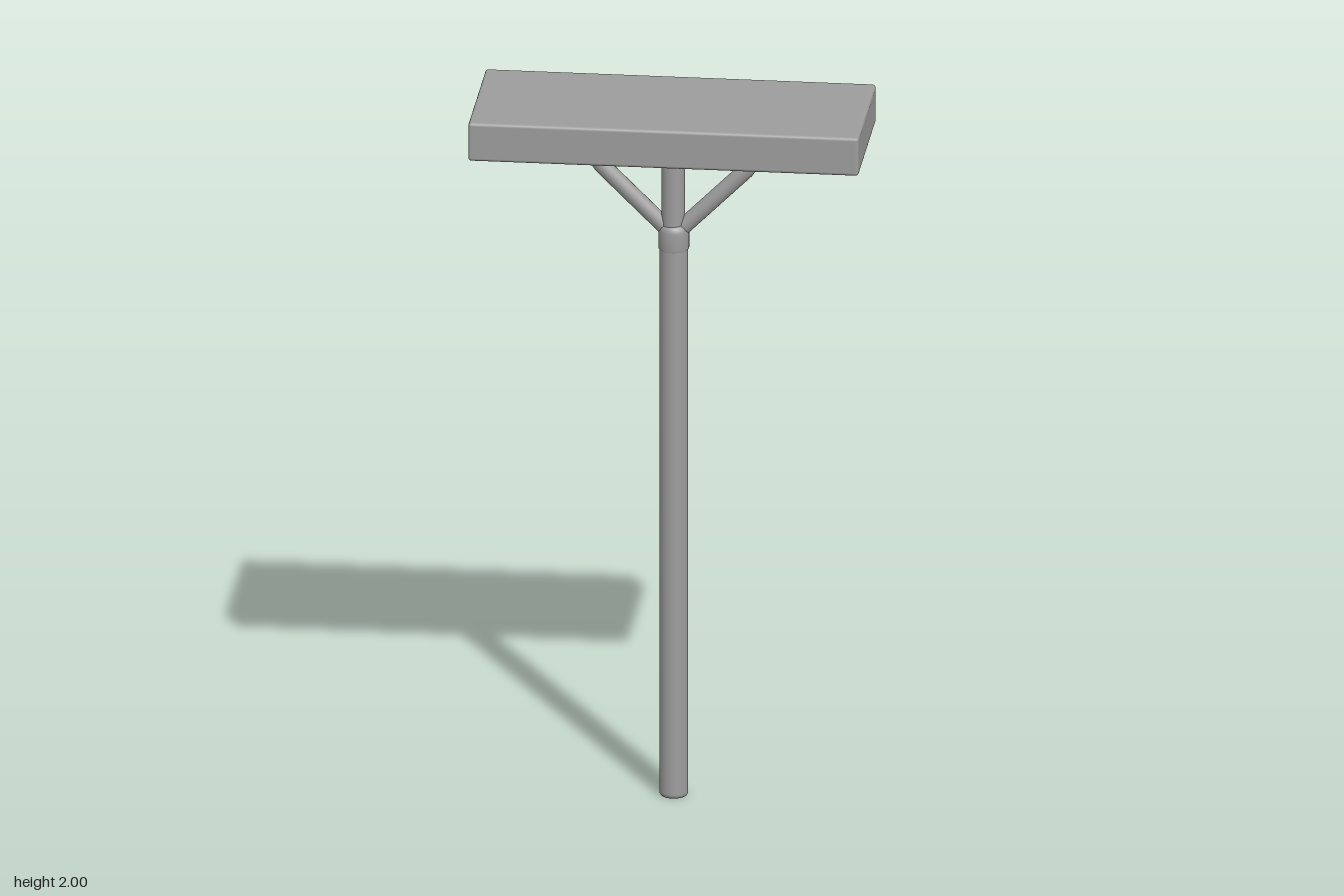
import * as THREE from 'three';
import { RoundedBoxGeometry } from 'three/addons/geometries/RoundedBoxGeometry.js';

const material = (name, color) => new THREE.MeshStandardMaterial({ name, color });

export function createModel() {
  const model = new THREE.Group();
  model.name = 'streetLamp';
  const metal = material('grey metal', 0x9d9d9d);
  const grille = material('grille grey', 0x8a8478);
  const lens = material('beige lens', 0xc6b795);
  const poleX = 0.005;

  const add = (name, geometry, mat, x = 0, y = 0, z = 0) => {
    const mesh = new THREE.Mesh(geometry, mat);
    mesh.name = name;
    mesh.position.set(x, y, z);
    model.add(mesh);
    return mesh;
  };
  const box = (name, w, h, d, mat, x, y, z) =>
    add(name, new THREE.BoxGeometry(w, h, d), mat, x, y, z);
  const lathe = (points) =>
    new THREE.LatheGeometry(points.map(([r, y]) => new THREE.Vector2(r, y)), 32);

  // Pole with a softened foot, and the collar at its top
  add('pole', lathe([[0, 0], [0.035, 0], [0.039, 0.006], [0.039, 0.012], [0.039, 1.6]]), metal, poleX);
  add('collar', lathe([[0.036, 1.578], [0.042, 1.584], [0.042, 1.635], [0.038, 1.648], [0.028, 1.656], [0, 1.658]]), metal, poleX);
  add('centrePost', new THREE.CylinderGeometry(0.032, 0.032, 0.26, 24), metal, poleX - 0.002, 1.77, 0);

  // Bent arms: sloping run, tight bend, short upright
  for (const s of [-1, 1]) {
    const path = new THREE.CurvePath();
    const p = [[0.01, 1.63], [0.194, 1.812], [0.205, 1.822], [0.205, 1.836], [0.205, 1.9]]
      .map(([x, y]) => new THREE.Vector3(s * x, y, 0));
    path.add(new THREE.LineCurve3(p[0], p[1]));
    path.add(new THREE.QuadraticBezierCurve3(p[1], p[2], p[3]));
    path.add(new THREE.LineCurve3(p[3], p[4]));
    add(s > 0 ? 'leftArm' : 'rightArm', new THREE.TubeGeometry(path, 40, 0.023, 16), metal, poleX);
  }

  // Lamp head
  add('lampHead', new RoundedBoxGeometry(1.066, 0.11, 0.43, 3, 0.009), metal, 0, 1.945, 0);

  // Lens panel under the head, with a plain plate at one end
  box('lensPanel', 0.74, 0.006, 0.2, lens, -0.05, 1.888, 0);
  box('endPlate', 0.1, 0.006, 0.2, metal, 0.37, 1.888, 0);

  // Frame around the panel
  for (const s of [-1, 1]) {
    box('frameLongSide', 0.86, 0.01, 0.016, metal, 0, 1.888, s * 0.108);
    box('frameShortSide', 0.016, 0.01, 0.2, metal, s * 0.421, 1.888, 0);
    // Small latch on each end of the frame
    add('latch', new THREE.SphereGeometry(0.018, 16, 10), metal, s * 0.39, 1.893, 0);
  }

  // Grille bars
  for (let i = 0; i <= 10; i++)
    box('grilleCrossBar', 0.005, 0.005, 0.2, grille, -0.41 + i * 0.073, 1.885, 0);
  for (const z of [-0.05, 0, 0.05])
    box('grilleLongBar', 0.73, 0.005, 0.005, grille, -0.045, 1.885, z);

  return model;
}
